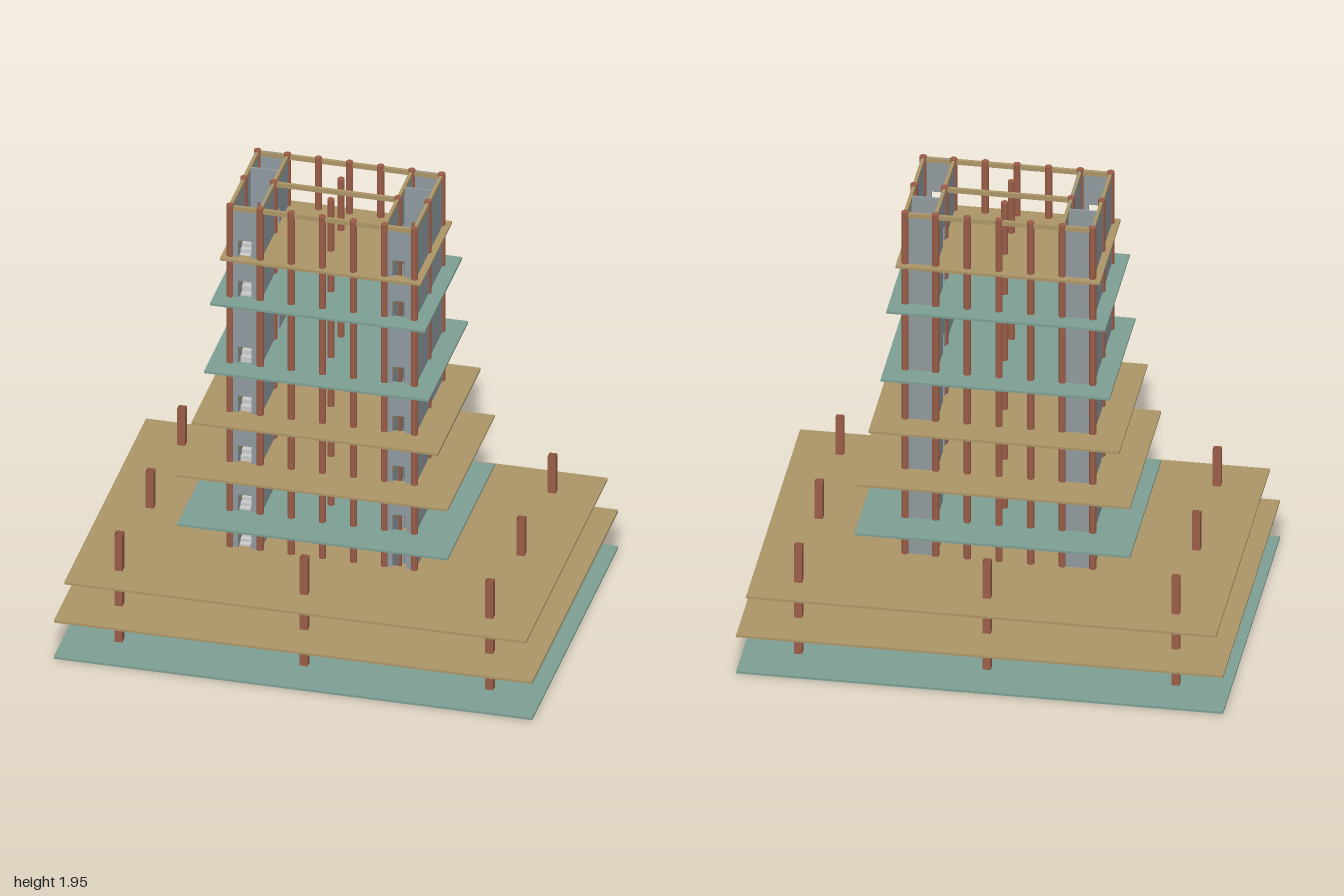
import * as THREE from 'three';

const mat = (color, side = THREE.FrontSide) =>
  new THREE.MeshStandardMaterial({ color, side, flatShading: true });
const TAN = mat(0xac9668), TEAL = mat(0x7d9f94), WALL = mat(0x8f999e);
const RUST = mat(0x9b5d48), RUST_OPEN = mat(0x9b5d48, THREE.DoubleSide), STAIR = mat(0xcccccc);

const TOP = 1.95, X1 = 0.26, X2 = 0.385, Z = 0.225;
// floor levels: centre height, half width, half depth, material
const FLOORS = [
  [0.005, 1.0, 0.71, TEAL], [0.175, 1.0, 0.71, TAN], [0.34, 0.965, 0.675, TAN],
  [0.51, 0.565, 0.39, TEAL], [0.74, 0.565, 0.39, TAN], [0.975, 0.515, 0.355, TAN],
  [1.205, 0.47, 0.325, TEAL], [1.515, 0.45, 0.305, TEAL], [1.705, 0.42, 0.26, TAN],
];

function rectPath(a, b, c, d, PathType = THREE.Path) {
  return new PathType([[a, b], [c, b], [c, d], [a, d]].map(p => new THREE.Vector2(...p)));
}

function extrude(shape, depth) {
  return new THREE.ExtrudeGeometry(shape, { depth, bevelEnabled: false });
}

function add(parent, name, geometry, material, x = 0, y = 0, z = 0) {
  const mesh = new THREE.Mesh(geometry, material);
  mesh.name = name;
  mesh.position.set(x, y, z);
  parent.add(mesh);
  return mesh;
}

function box(parent, name, material, w, h, d, x, y, z) {
  return add(parent, name, new THREE.BoxGeometry(w, h, d), material, x, y, z);
}

// full-height wall from a to b with an optional doorway [from, to] on each floor
function wallGeometry(a, b, door, thickness = 0.01) {
  const shape = rectPath(a, 0, b, TOP - 0.005, THREE.Shape);
  if (door) for (const [y] of FLOORS)
    shape.holes.push(rectPath(door[0], y + 0.003, door[1], y + 0.083));
  return extrude(shape, thickness).translate(0, 0, -thickness / 2);
}

// sawtooth flight rising along +z, centred on x
function flightGeometry(run, rise, width, steps = 6) {
  const shape = new THREE.Shape();
  shape.moveTo(0, 0);
  for (let i = 0; i < steps; i++) {
    shape.lineTo(run * i / steps, rise * (i + 1) / steps);
    shape.lineTo(run * (i + 1) / steps, rise * (i + 1) / steps);
  }
  shape.lineTo(run, rise * (1 - 1.2 / steps));
  shape.lineTo(run / steps, 0);
  shape.closePath();
  return extrude(shape, width).translate(0, 0, -width / 2).rotateY(-Math.PI / 2);
}

function buildSlabs(parent) {
  const g = new THREE.Group();
  g.name = 'floorSlabs';
  for (const [y, hx, hz, material] of FLOORS) {
    const shape = rectPath(-hx, -hz, hx, hz, THREE.Shape);
    // lift shaft and stairwell openings in both cores
    for (const s of [-1, 1]) {
      const a = s > 0 ? 0.268 : -0.377, b = a + 0.109;
      shape.holes.push(rectPath(a, 0.1, b, 0.218), rectPath(a, -0.215, b, 0.027));
    }
    add(g, 'floorSlab', extrude(shape, 0.01).rotateX(-Math.PI / 2), material, 0, y - 0.005, 0);
  }
  parent.add(g);
}

function buildColumns(parent) {
  const g = new THREE.Group();
  g.name = 'columns';
  const spots = [[0, -0.085], [0, 0.085]];
  for (const x of [-X2, -X1, -0.13, 0, 0.13, X1, X2])
    for (const z of [-Z, Z]) spots.push([x, z]);
  for (const x of [-X2, -X1, X1, X2]) spots.push([x, 0]);
  const round = new THREE.CylinderGeometry(0.015, 0.015, TOP, 12);
  for (const [x, z] of spots) add(g, 'towerColumn', round, RUST, x, TOP / 2, z);

  // square hollow columns around the podium
  const square = new THREE.CylinderGeometry(0.0235, 0.0235, 0.515, 4, 1, true).rotateY(Math.PI / 4);
  for (const x of [-0.775, 0, 0.775])
    for (const z of [-0.517, 0, 0.517])
      if (x || z) add(g, 'podiumColumn', square, RUST_OPEN, x, 0.2575, z);
  parent.add(g);
}

function buildBeams(parent) {
  const g = new THREE.Group();
  g.name = 'beams';
  const heights = FLOORS.slice(1).map(f => f[0] - 0.015).concat(TOP - 0.015);
  for (const y of heights) {
    for (const z of [-Z, Z]) box(g, 'longBeam', TAN, 2 * X2, 0.02, 0.014, 0, y, z);
    box(g, 'middleBeam', TAN, 2 * X1, 0.02, 0.014, 0, y, 0);
    for (const x of [-X2, -X1, X1, X2]) box(g, 'crossBeam', TAN, 0.014, 0.02, 2 * Z, x, y, 0);
  }
  parent.add(g);
}

function buildCore(parent, s) {
  const g = new THREE.Group();
  g.name = s > 0 ? 'leftCore' : 'rightCore';
  const cx = s * (X1 + X2) / 2, half = (X2 - X1) / 2;
  const door = [-0.028, 0.028];

  // walls: doors at the front, the lift and the inner corridor
  add(g, 'frontWall', wallGeometry(-half, half, door), WALL, cx, 0, Z);
  add(g, 'backWall', wallGeometry(-half, half), WALL, cx, 0, -Z);
  add(g, 'liftWall', wallGeometry(-half, half, door), WALL, cx, 0, -0.09);
  const turn = -Math.PI / 2;
  add(g, 'outerWall', wallGeometry(-Z, Z).rotateY(turn), WALL, s * X2, 0, 0);
  add(g, 'innerWall', wallGeometry(-Z, Z, [-0.078, -0.03]).rotateY(turn), WALL, s * X1, 0, 0);

  // two-flight stairs with a half landing on every storey
  for (let i = 0; i < FLOORS.length - 1; i++) {
    const y0 = FLOORS[i][0], y1 = FLOORS[i + 1][0], rise = (y1 - y0) / 2;
    const flight = flightGeometry(0.12, rise, 0.045);
    add(g, 'lowerFlight', flight, STAIR, cx - s * 0.027, y0, 0.045);
    const upper = add(g, 'upperFlight', flight, STAIR, cx + s * 0.027, y0 + rise, 0.165);
    upper.rotation.y = Math.PI;
    box(g, 'halfLanding', STAIR, 0.109, 0.008, 0.05, cx, y0 + rise - 0.004, 0.19);
    box(g, 'floorLanding', STAIR, 0.109, 0.008, 0.035, cx, y1 - 0.004, 0.028);
  }
  parent.add(g);
}

export function createModel() {
  const model = new THREE.Group();
  model.name = 'tower';
  buildSlabs(model);
  buildColumns(model);
  buildBeams(model);
  for (const s of [-1, 1]) buildCore(model, s);
  return model;
}
